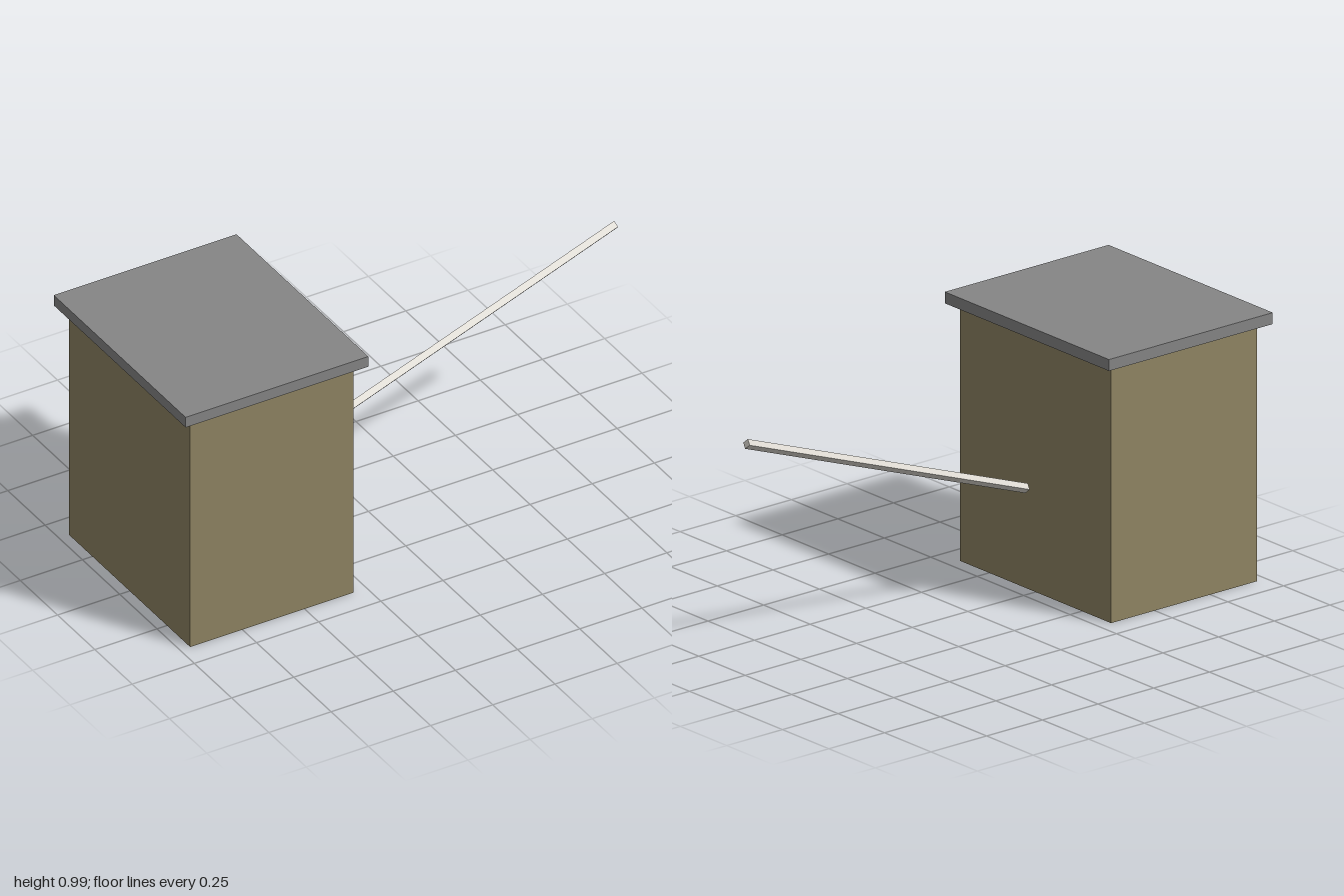
import * as THREE from 'three';

const mat = (name, color) => {
  const m = new THREE.MeshStandardMaterial({ color });
  m.name = name;
  return m;
};

function box(name, w, h, d, x, y, material) {
  const mesh = new THREE.Mesh(new THREE.BoxGeometry(w, h, d), material);
  mesh.name = name;
  mesh.position.set(x, y, 0);
  return mesh;
}

export function createModel() {
  const group = new THREE.Group();
  group.name = 'gateBooth';
  const tan = mat('tanWall', 0x8f8463);
  const grey = mat('greyRoof', 0x858585);
  const white = mat('offWhiteBar', 0xd8d4cc);

  // Booth body and overhanging flat roof
  group.add(box('boothBody', 0.656, 0.945, 0.812, -0.632, 0.4725, tan));
  group.add(box('roofSlab', 0.735, 0.042, 0.884, -0.6325, 0.966, grey));

  // Square barrier bar, standing on its edge and raised by 20 degrees
  const bar = box('barrierArm', 1.338, 0.0247, 0.0247, 0.3655, 0.6195, white);
  bar.geometry.rotateX(Math.PI / 4);
  bar.rotation.z = THREE.MathUtils.degToRad(20);
  group.add(bar);

  return group;
}
